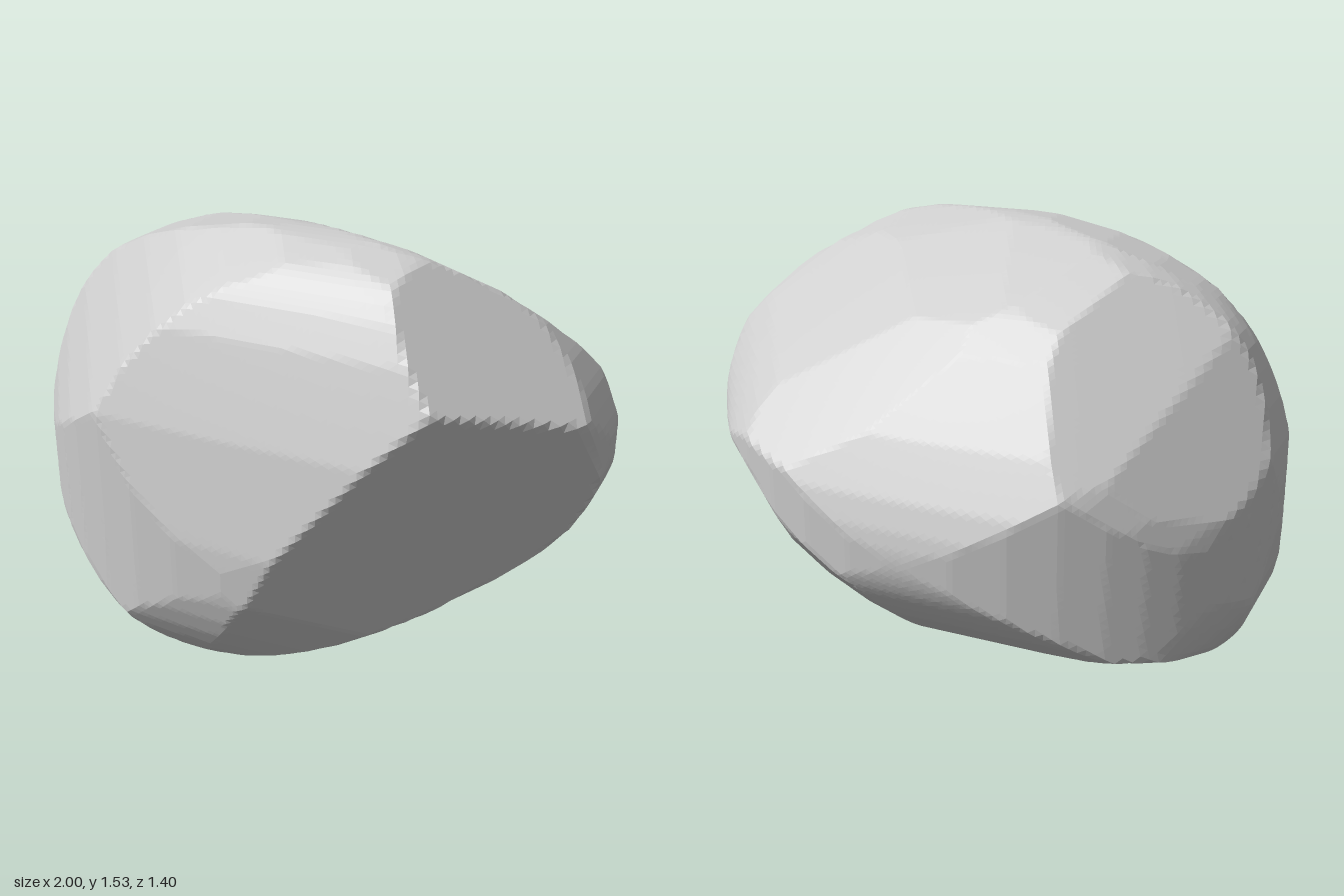
import * as THREE from 'three';

const MID = 0.765; // height of the stone's centre

// Smooth closed curve through a few [x, y] points
function loop(...pts) {
  return new THREE.CatmullRomCurve3(pts.map(([x, y]) => new THREE.Vector3(x, y, 0)), true);
}

// Girth outlines of the stone, each seen along a direction (azimuth, elevation in degrees)
const girths = [
  { // lengthwise
    az: 0, el: 0,
    curve: loop([-1, -.03], [-.86, .44], [-.6, .635], [0, .765], [.6, .665],
      [1, .185], [.8, -.275], [-.18, -.745], [-.5, -.745], [-.88, -.545]),
  },
  { // crosswise
    az: -90, el: 0,
    curve: loop([.18, .765], [.4, .64], [.65, .035], [.7, -.3], [.55, -.62],
      [.24, -.765], [-.5, -.475], [-.7, -.195], [-.4, .385], [-.1, .655]),
  },
  { // plan
    az: 0, el: 90,
    curve: new THREE.EllipseCurve(0, 0, 1, .7),
  },
  { // diagonal
    az: 35, el: 25,
    curve: loop([-.335, .735], [.29, .46], [.83, .115], [.895, -.05], [.69, -.39],
      [-.02, -.72], [-.37, -.745], [-.7, -.575], [-.925, -.07], [-.755, .575]),
  },
  { // opposite diagonal
    az: 215, el: 25,
    curve: loop([-.26, .85], [.44, .61], [.84, .125], [.93, -.315], [.82, -.66],
      [.46, -.755], [-.3, -.61], [-.79, -.155], [-.895, .245], [-.68, .69]),
  },
  { // cross diagonal
    az: 140, el: -28,
    curve: loop([-.46, .7], [.62, .335], [.895, -.285], [.775, -.66], [.315, -.9],
      [-.245, -.785], [-.64, -.255], [-.865, .45], [-.735, .67]),
  },
];

// Broad single cuts: normal and distance from the centre
const cuts = [
  [.61, -.3, .73, .65], // lower front flank
  [.6, .65, .45, .85], // upper front shoulder
  [.15, .68, -.72, .545], // large upper back face
  [-.4, .62, -.68, .66], // upper back corner
  [-.64, .42, -.64, .76], // back end
  [.64, -.42, -.64, .76], // lower back
];

// Planes n.p = 1 that touch each girth all the way round, plus the broad cuts
function cuttingPlanes(steps = 50) {
  const planes = cuts.map(([x, y, z, h]) => new THREE.Vector3(x, y, z).divideScalar(h));
  for (const { az, el, curve } of girths) {
    const a = THREE.MathUtils.degToRad(az), e = THREE.MathUtils.degToRad(el);
    const view = new THREE.Vector3(Math.sin(a) * Math.cos(e), Math.sin(e), Math.cos(a) * Math.cos(e));
    const across = new THREE.Vector3(Math.cos(a), 0, -Math.sin(a));
    const up = view.clone().cross(across);
    const outline = curve.getPoints(120);
    for (let i = 0; i < steps; i++) {
      const t = (i / steps) * Math.PI * 2, nx = Math.cos(t), ny = Math.sin(t);
      const reach = Math.max(...outline.map((p) => p.x * nx + p.y * ny));
      planes.push(across.clone().multiplyScalar(nx).addScaledVector(up, ny).divideScalar(reach));
    }
  }
  return planes;
}

export function createModel() {
  const group = new THREE.Group();
  group.name = 'rock';

  // A fine sphere pulled in to the nearest cutting plane along each direction
  const geo = new THREE.IcosahedronGeometry(1, 40);
  const planes = cuttingPlanes();
  const pos = geo.attributes.position;
  const d = new THREE.Vector3();
  for (let i = 0; i < pos.count; i++) {
    d.fromBufferAttribute(pos, i).normalize();
    d.divideScalar(Math.max(...planes.map((n) => n.dot(d))));
    pos.setXYZ(i, d.x, d.y + MID, d.z);
  }
  geo.computeVertexNormals();

  // Rest it on the ground, centred
  geo.computeBoundingBox();
  const { min, max } = geo.boundingBox;
  geo.translate(-(min.x + max.x) / 2, -min.y, -(min.z + max.z) / 2);

  const stone = new THREE.Mesh(geo, new THREE.MeshStandardMaterial({ color: 0xcccccc, flatShading: true }));
  stone.name = 'stone';
  group.add(stone);
  return group;
}
